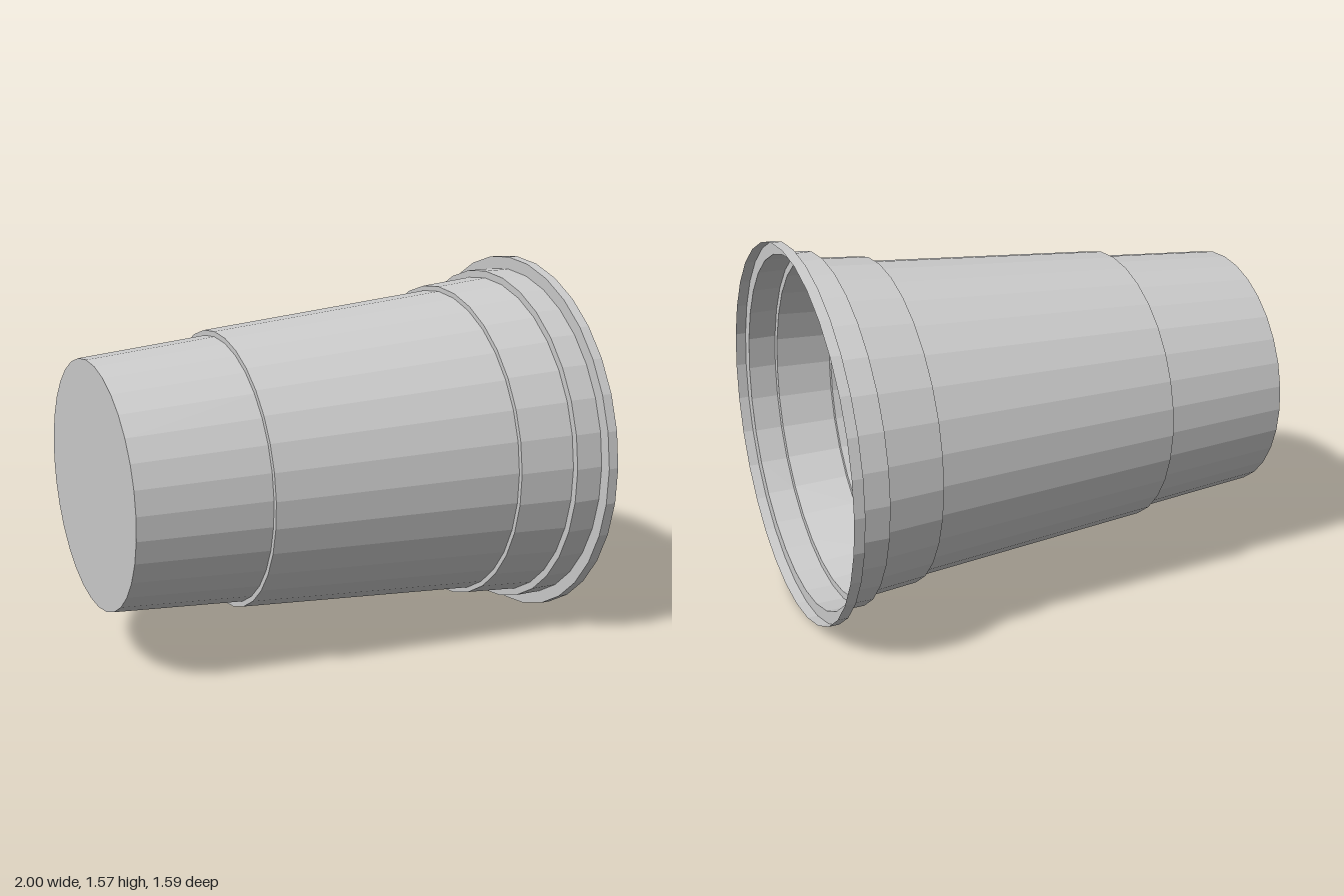
import * as THREE from 'three';

export function createModel() {
  const model = new THREE.Group();
  const material = new THREE.MeshStandardMaterial({
    color: 0xcccccc, flatShading: true, side: THREE.DoubleSide,
  });
  const SIDES = 32;

  // Thin-walled parts as [radius, distance along the cup's axis]
  const profiles = {
    base: [[0, -1], [0.523, -1]],
    lowerWall: [[0.523, -1], [0.566, -0.45]],
    lowerStep: [[0.566, -0.45], [0.588, -0.45]],
    middleWall: [[0.588, -0.45], [0.67, 0.6]],
    upperStep: [[0.67, 0.6], [0.691, 0.6]],
    upperWall: [[0.691, 0.6], [0.711, 0.835]],
    collar: [[0.711, 0.835], [0.742, 0.835], [0.742, 0.953]],
    rim: [[0.742, 0.953], [0.796, 0.953], [0.796, 0.997]],
  };

  // The cup lies on its side, opening towards +x, very slightly tilted and flattened
  const cup = new THREE.Group();
  cup.name = 'cup';
  for (const [name, points] of Object.entries(profiles)) {
    const geometry = new THREE.LatheGeometry(points.map(([r, d]) => new THREE.Vector2(r, d)), SIDES);
    geometry.rotateZ(-Math.PI / 2);
    geometry.rotateX(THREE.MathUtils.degToRad(-1.9));
    geometry.scale(1, 0.987, 1);
    const mesh = new THREE.Mesh(geometry, material);
    mesh.name = name;
    cup.add(mesh);
  }
  cup.rotation.set(0, -0.003, 0.0035);
  cup.position.set(0, 0.782, -0.003);
  model.add(cup);
  return model;
}
